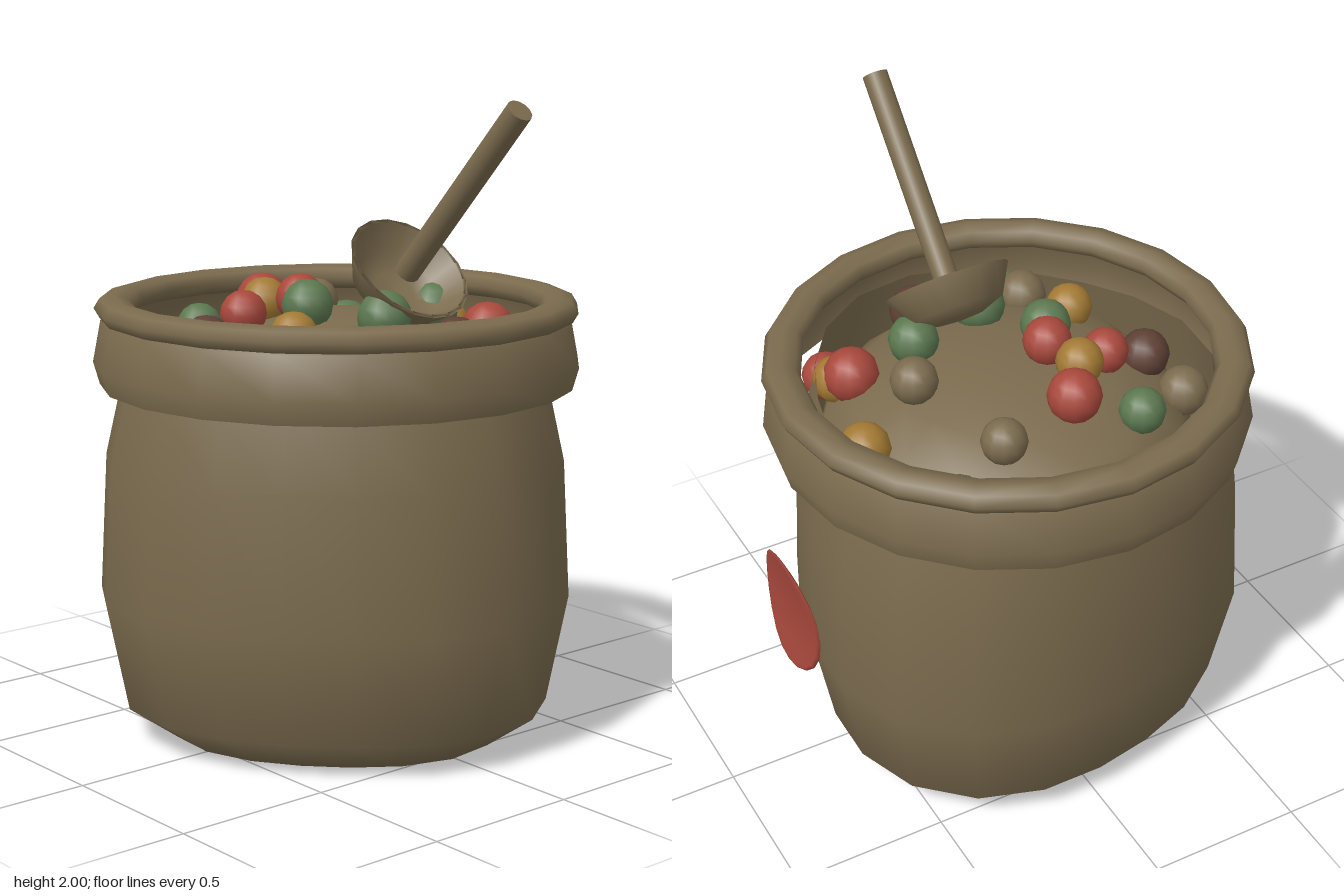
import * as THREE from 'three';
import { mergeVertices } from 'three/addons/utils/BufferGeometryUtils.js';

const mat = (name, color, double) => {
  const m = new THREE.MeshStandardMaterial({ color });
  m.name = name;
  if (double) m.side = THREE.DoubleSide;
  return m;
};

// Moves every vertex by a rule and restores smooth normals across the seam
function reshape(geometry, rule) {
  geometry.deleteAttribute('uv');
  geometry.deleteAttribute('normal');
  const p = geometry.attributes.position;
  const v = new THREE.Vector3();
  for (let i = 0; i < p.count; i++) {
    rule(v.fromBufferAttribute(p, i));
    p.setXYZ(i, v.x, v.y, v.z);
  }
  const merged = mergeVertices(geometry, 1e-4);
  merged.computeVertexNormals();
  return merged;
}

export function createModel() {
  const group = new THREE.Group();
  const cloth = mat('sackcloth', 0x7b6b4e, true);
  const red = mat('red', 0xa8483c);
  const green = mat('green', 0x5c7850);
  const mustard = mat('mustard', 0xa37a34);
  const umber = mat('umber', 0x5e4034);

  const add = (name, geometry, material, x = 0, y = 0, z = 0) => {
    const mesh = new THREE.Mesh(geometry, material);
    mesh.name = name;
    mesh.position.set(x, y, z);
    group.add(mesh);
    return mesh;
  };
  const lathe = (points, sides) =>
    new THREE.LatheGeometry(points.map(([r, y]) => new THREE.Vector2(r, y)), sides);

  // Open sack with three soft bulges around it
  const sack = lathe([[0, 0], [0.513, 0], [0.66, 0.11], [0.725, 0.45], [0.703, 0.88], [0.655, 1.1], [0.62, 1.25]], 20);
  add('sack', reshape(sack, (v) => {
    const bulge = 1 + 0.06 * Math.cos(3 * Math.atan2(v.z, v.x) + 0.62);
    v.x *= bulge;
    v.z = v.z * bulge + 0.01;
  }), cloth);

  // Folded cuff, with a rolled rim on top
  add('cuff', lathe([[0.74, 1.1], [0.76, 1.17], [0.735, 1.3], [0.7, 1.32]], 20), cloth, 0, 0, 0.015);
  const rim = new THREE.TorusGeometry(0.695, 0.06, 8, 20);
  rim.rotateX(Math.PI / 2).scale(1, 0.7, 1);
  add('rim', rim, cloth, 0, 1.338, 0.015);

  // Mound filling the mouth of the sack
  const mound = new THREE.SphereGeometry(0.59, 16, 5, 0, Math.PI * 2, 0, Math.PI / 2);
  mound.scale(1, 0.47, 1);
  add('moundOfContents', mound, cloth, 0.01, 1.05, 0.01);

  // Balls lying on the mound: x, z, radius
  const contents = [
    ['redBall', red, [[-0.28, 0.09, 0.085], [-0.035, 0.135, 0.077], [-0.115, 0.295, 0.073], [0.245, -0.4, 0.088], [0.385, -0.425, 0.077]]],
    ['greenBall', green, [[-0.405, -0.37, 0.087], [-0.355, 0.285, 0.073], [0.055, 0.18, 0.08], [0.44, 0.25, 0.077], [0.21, -0.2, 0.08], [0.28, 0.065, 0.085]]],
    ['mustardBall', mustard, [[-0.07, -0.51, 0.082], [-0.575, -0.095, 0.077], [-0.155, 0.18, 0.075], [0.185, 0.34, 0.075], [0.295, -0.43, 0.075]]],
    ['umberBall', umber, [[-0.105, 0.445, 0.08], [0.445, -0.075, 0.085]]],
    ['tanBall', cloth, [[0.02, -0.295, 0.075], [-0.335, -0.18, 0.072], [-0.235, 0.51, 0.08], [0.36, 0.265, 0.08]]],
  ];
  for (const [name, material, list] of contents) {
    for (const [x, z, r] of list) {
      const d = x * x + z * z;
      add(name, new THREE.SphereGeometry(r, 12, 8), material, x, 1.378 - 0.45 * d - 0.6 * d * d, z);
    }
  }

  // Ladle leaning to the side: bowl at the origin, handle along local y
  const ladle = new THREE.Group();
  ladle.name = 'ladle';
  const bowl = new THREE.Mesh(
    lathe([[0, -0.13], [0.08, -0.122], [0.15, -0.095], [0.2, 0], [0.185, 0], [0.135, -0.08], [0.07, -0.105], [0, -0.11]], 18), cloth);
  bowl.name = 'ladleBowl';
  const handle = new THREE.Mesh(new THREE.CylinderGeometry(0.04, 0.04, 0.7, 12), cloth);
  handle.name = 'ladleHandle';
  handle.position.y = 0.33;
  ladle.add(bowl, handle);
  ladle.position.set(0.26, 1.475, -0.055);
  ladle.rotation.z = -0.75;
  group.add(ladle);

  // Thin round patch behind the sack, bent along its height
  const patch = new THREE.SphereGeometry(0.2, 14, 10);
  add('backPatch', reshape(patch, (v) => {
    v.z = v.z * 0.07 - 0.033 * (v.y / 0.2) ** 2 - 0.005 * (v.x / 0.2) ** 2;
  }), red, 0, 0.625, -0.742);

  return group;
}
